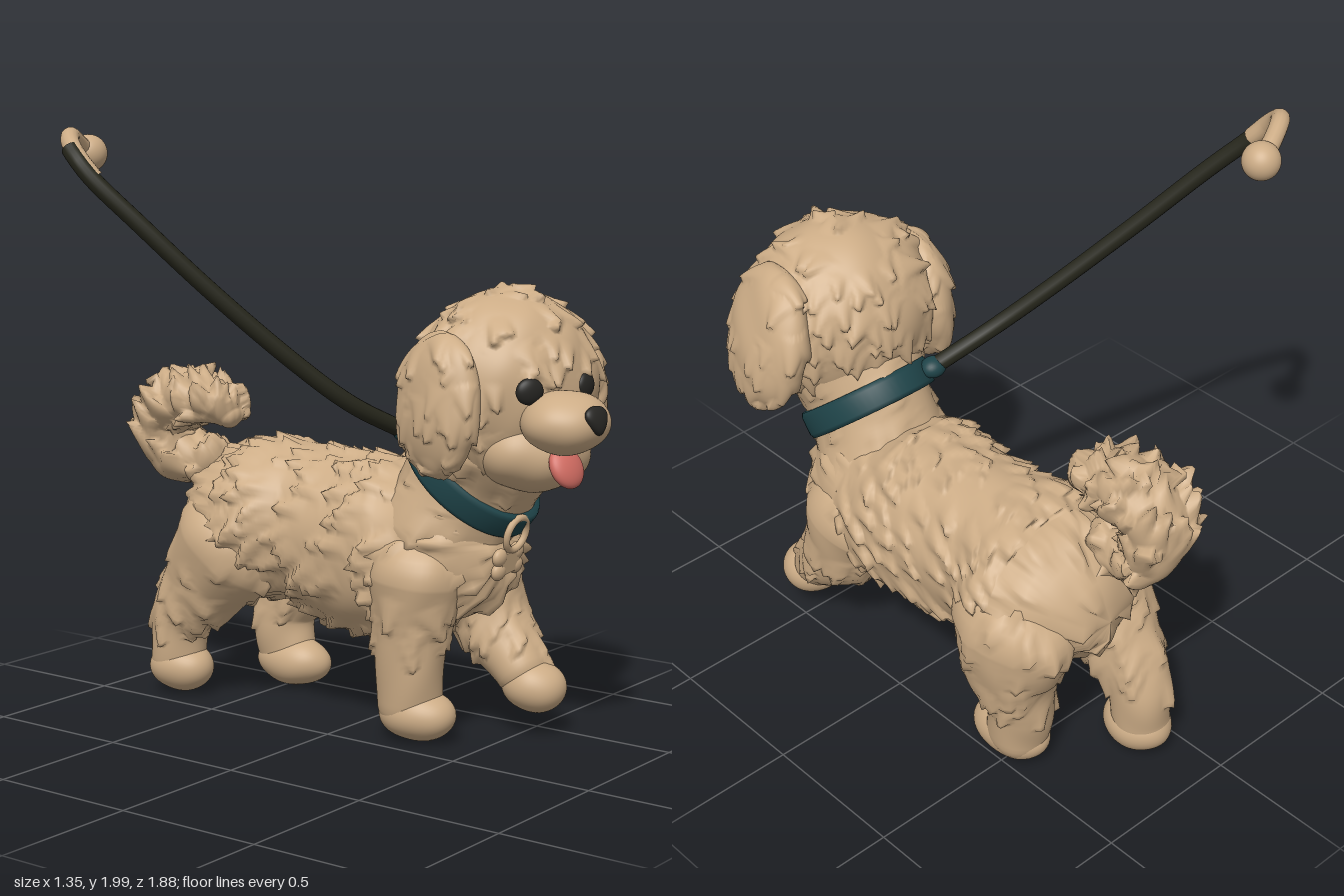
import * as THREE from 'three';
import { mergeVertices } from 'three/addons/utils/BufferGeometryUtils.js';

const V = (x, y, z) => new THREE.Vector3(x, y, z);
const paint = (name, color) => {
  const m = new THREE.MeshStandardMaterial({ color });
  m.name = name;
  return m;
};

export function createModel() {
  const furTan = paint('tan fur', 0xccac86);
  const dark = paint('dark eyes and nose', 0x262522);
  const leashDark = paint('leash olive black', 0x26261b);
  const teal = paint('teal collar', 0x1f4449);
  const pink = paint('pink tongue', 0xd16c62);

  const model = new THREE.Group();
  model.name = 'puppyOnLeash';
  const add = (name, geo, mat, parent = model) => {
    const m = new THREE.Mesh(geo, mat);
    m.name = name;
    parent.add(m);
    return m;
  };

  let seed = 7;
  const rand = () => (seed = (seed * 16807) % 2147483647) / 2147483647;

  // Raises overlapping pointed locks that swell along the flow and end in a sharp step
  function fur(geo, { count = 0, flow = V(0, -1, 0), size = 1, amp = 0.004, lift = 0.024, skip = () => false }) {
    geo.computeVertexNormals();
    const p = geo.attributes.position, n = geo.attributes.normal;
    const points = [], normals = [], push = [];
    for (let i = 0; i < p.count; i++) {
      const v = V().fromBufferAttribute(p, i), nor = V().fromBufferAttribute(n, i);
      points.push(v);
      normals.push(nor);
      push.push({ h: amp * Math.sin(v.x * 23 + v.z * 11) * Math.sin(v.y * 21 - v.z * 19), f: V() });
    }
    for (let k = 0; k < count; k++) {
      const i = Math.floor(rand() * p.count), s = points[i], nor = normals[i];
      if (skip(s)) continue;
      const f = flow.clone().add(V(rand() - 0.5, rand() - 0.5, rand() - 0.5).multiplyScalar(0.7));
      f.addScaledVector(nor, -f.dot(nor)).normalize();
      const across = nor.clone().cross(f), scale = size * (0.75 + rand() * 0.5);
      const long = 0.095 * scale, wide = 0.04 * scale, d = V();
      points.forEach((v, j) => {
        d.subVectors(v, s);
        const t = d.dot(f) / long;
        if (t < 0 || t > 1 || Math.abs(d.dot(nor)) > 0.05) return;
        const w = d.dot(across) / (wide * (1.1 - 0.75 * t));
        const h = lift * scale * t * (1 - w * w);
        if (h > push[j].h) push[j] = { h, f };
      });
    }
    points.forEach((v, i) => {
      v.addScaledVector(normals[i], push[i].h).addScaledVector(push[i].f, push[i].h * 0.8);
      p.setXYZ(i, v.x, v.y, v.z);
    });
    geo.computeVertexNormals();
    return geo;
  }

  // Rounded limb through sections [x, y, z, half width, half depth], with domed ends
  function loft(sections, steps = 36, n = 48) {
    const path = new THREE.CatmullRomCurve3(sections.map(s => V(s[0], s[1], s[2])));
    const size = new THREE.CatmullRomCurve3(sections.map(s => V(s[3], s[4], 0)));
    const rings = [], cap = 8;
    const ring = (u, out, k) => {
      const c = path.getPoint(u), t = path.getTangent(u), r = size.getPoint(u);
      rings.push({ c: c.addScaledVector(t, out * Math.min(r.x, r.y)), t, a: r.x * k, b: r.y * k });
    };
    for (let i = 0; i < cap; i++) {
      const q = (i / cap) * Math.PI / 2;
      ring(0, -Math.cos(q), Math.sin(q) + 0.001);
    }
    for (let i = 0; i <= steps; i++) ring(i / steps, 0, 1);
    for (let i = cap - 1; i >= 0; i--) {
      const q = (i / cap) * Math.PI / 2;
      ring(1, Math.cos(q), Math.sin(q) + 0.001);
    }
    const pos = [], idx = [];
    rings.forEach(({ c, t, a, b }, i) => {
      const side = V(1, 0, 0).addScaledVector(t, -t.x).normalize();
      const up = t.clone().cross(side);
      for (let j = 0; j < n; j++) {
        const f = (j / n) * Math.PI * 2;
        const v = c.clone().addScaledVector(side, Math.cos(f) * a).addScaledVector(up, Math.sin(f) * b);
        pos.push(v.x, v.y, v.z);
        if (i === rings.length - 1) continue;
        const A = i * n + j, B = i * n + (j + 1) % n;
        idx.push(A, B, B + n, A, B + n, A + n);
      }
    });
    const g = new THREE.BufferGeometry();
    g.setAttribute('position', new THREE.Float32BufferAttribute(pos, 3));
    g.setIndex(idx);
    return g;
  }

  // Smooth ellipsoid with evenly spread vertices
  function ball(c, r, rot = [0, 0, 0], detail = 12) {
    let g = new THREE.IcosahedronGeometry(1, detail);
    g.deleteAttribute('uv');
    g.deleteAttribute('normal');
    g = mergeVertices(g, 1e-4);
    g.applyMatrix4(new THREE.Matrix4().compose(V(...c),
      new THREE.Quaternion().setFromEuler(new THREE.Euler(...rot)), V(...r)));
    g.computeVertexNormals();
    return g;
  }

  // Torso and neck
  add('torso', fur(loft([
    [0.29, 0.63, 0.27, 0.255, 0.25], [0.29, 0.60, 0.12, 0.28, 0.305], [0.29, 0.605, -0.08, 0.265, 0.3],
    [0.29, 0.64, -0.28, 0.255, 0.27], [0.28, 0.645, -0.42, 0.3, 0.272], [0.28, 0.64, -0.5, 0.285, 0.25],
  ], 80, 110), { count: 430, flow: V(0, -0.5, -1) }), furTan);
  add('neck', fur(loft([
    [0.28, 0.69, 0.28, 0.24, 0.21], [0.28, 0.88, 0.38, 0.192, 0.225], [0.27, 1.02, 0.47, 0.24, 0.235],
  ]), { count: 60, flow: V(0, -1, -0.5), lift: 0.015 }), furTan);

  // Legs: sections from shoulder or hip to ankle, then the paw
  const legs = {
    frontLeftLeg: [[[0.45, 0.55, 0.27, 0.145, 0.17], [0.45, 0.37, 0.34, 0.12, 0.135], [0.43, 0.22, 0.48, 0.102, 0.09]],
      [0.43, 0.165, 0.53], [0.104, 0.088, 0.108], [0.15, 0, 0]],
    frontRightLeg: [[[0.12, 0.55, 0.27, 0.145, 0.16], [0.12, 0.35, 0.25, 0.115, 0.125], [0.13, 0.13, 0.24, 0.105, 0.108]],
      [0.13, 0.092, 0.27], [0.106, 0.088, 0.135], [0, 0, 0]],
    hindLeftLeg: [[[0.46, 0.56, -0.51, 0.16, 0.225], [0.46, 0.39, -0.5, 0.135, 0.18], [0.44, 0.24, -0.53, 0.108, 0.11], [0.44, 0.12, -0.51, 0.096, 0.105]],
      [0.43, 0.095, -0.475], [0.1, 0.088, 0.145], [0, 0, 0]],
    hindRightLeg: [[[0.11, 0.56, -0.51, 0.16, 0.21], [0.12, 0.41, -0.63, 0.128, 0.155], [0.12, 0.27, -0.735, 0.102, 0.11], [0.12, 0.13, -0.75, 0.093, 0.095]],
      [0.12, 0.1, -0.735], [0.1, 0.088, 0.12], [0, 0, 0]],
  };
  for (const [name, [sections, at, size, rot]] of Object.entries(legs)) {
    add(name, fur(loft(sections), { count: 90, lift: 0.018, skip: p => p.y < 0.3 }), furTan);
    add(name.replace('Leg', 'Paw'), fur(ball(at, size, rot, 8), { amp: 0.003 }), furTan);
  }

  // Curled tail with longer locks
  add('tail', fur(loft([
    [0.19, 0.82, -0.68, 0.08, 0.07], [0.16, 0.84, -0.79, 0.1, 0.085], [0.15, 0.96, -0.815, 0.11, 0.085],
    [0.15, 1.04, -0.73, 0.115, 0.085], [0.15, 1.04, -0.61, 0.095, 0.065], [0.16, 0.99, -0.545, 0.045, 0.03],
  ], 60, 56), { count: 110, flow: V(0, 0.6, -0.2), size: 1.1, lift: 0.035 }), furTan);

  // Head
  const face = p => p.z > 0.64 && p.y < 1.29;
  add('head', fur(ball([0.27, 1.185, 0.51], [0.31, 0.305, 0.275], [0, -0.3, 0], 32),
    { count: 230, flow: V(0, -0.8, 0.1), lift: 0.02, skip: p => face(p) || p.y < 1.02 }), furTan);
  add('jaw', fur(ball([0.235, 1.0, 0.62], [0.205, 0.138, 0.185], [0.25, -0.3, 0]), {}), furTan);
  add('muzzle', fur(ball([0.16, 1.1, 0.8], [0.145, 0.1, 0.135], [0, -0.3, 0]), { amp: 0.003 }), furTan);
  const earFur = { count: 70, lift: 0.012 };
  add('leftEar', fur(ball([0.56, 1.18, 0.525], [0.09, 0.24, 0.19], [0, -0.15, 0.24], 20), earFur), furTan);
  add('rightEar', fur(ball([-0.01, 1.15, 0.44], [0.085, 0.225, 0.18], [0, -0.3, -0.08], 20), earFur), furTan);
  add('leftEye', ball([0.305, 1.2, 0.78], [0.042, 0.042, 0.022], [0, 0, 0], 6), dark);
  add('rightEye', ball([0.07, 1.2, 0.724], [0.046, 0.042, 0.022], [0, -0.55, 0], 6), dark);

  // Nose, wide at the top and narrowing downward
  const nose = ball([0, 0, 0], [0.055, 0.046, 0.022], [0, 0, 0], 8);
  const np = nose.attributes.position;
  for (let i = 0; i < np.count; i++) np.setX(i, np.getX(i) * (0.8 + np.getY(i) * 8));
  nose.computeVertexNormals();
  const noseMesh = add('nose', nose, dark);
  noseMesh.position.set(0.138, 1.12, 0.924);
  noseMesh.rotation.set(-0.25, -0.15, 0);
  add('tongue', ball([0.168, 0.96, 0.8], [0.065, 0.07, 0.032], [-0.45, -0.2, 0], 8), pink);

  // Collar tilted around the neck
  const band = new THREE.LatheGeometry([
    [0.88, -0.045], [0.98, -0.045], [1.01, -0.03], [1.01, 0.03], [0.98, 0.045], [0.88, 0.045],
  ].map(p => new THREE.Vector2(...p)), 56);
  const collar = add('collar', band, teal);
  collar.scale.set(0.215, 1, 0.247);
  collar.rotation.x = 0.69;
  collar.position.set(0.28, 0.88, 0.38);
  add('leashClip', ball([0.14, 1.02, 0.21], [0.045, 0.035, 0.04], [0, 0, 0], 5), teal);

  // Ring and bone-shaped tag
  const ring = add('tagRing', new THREE.TorusGeometry(0.055, 0.012, 10, 32), furTan);
  ring.position.set(0.245, 0.71, 0.572);
  ring.rotation.x = 0.25;
  const tag = new THREE.Group();
  tag.name = 'boneTag';
  tag.position.set(0.235, 0.62, 0.545);
  tag.rotation.set(0.15, 0, 0.1);
  model.add(tag);
  add('tagBar', new THREE.BoxGeometry(0.1, 0.07, 0.03), furTan, tag);
  for (const x of [-1, 1]) for (const y of [-1, 1])
    add('tagKnob', ball([x * 0.048, y * 0.024, 0], [0.032, 0.03, 0.02], [0, 0, 0], 4), furTan, tag);

  // Leash whose dark sleeve wraps the outer side of the bent handle, with an end knob
  const tube = (pts, r) => new THREE.TubeGeometry(new THREE.CatmullRomCurve3(pts.map(p => V(...p))), 48, r, 14);
  add('leash', tube([[0.14, 1.02, 0.21], [-0.05, 1.125, 0.13], [-0.2, 1.265, 0.02], [-0.4, 1.5, -0.16],
    [-0.55, 1.71, -0.32], [-0.628, 1.84, -0.43], [-0.644, 1.9, -0.48], [-0.637, 1.932, -0.515]], 0.028), leashDark);
  add('leashHandle', tube([[-0.618, 1.84, -0.43], [-0.632, 1.9, -0.48], [-0.617, 1.945, -0.53],
    [-0.57, 1.968, -0.575], [-0.5, 1.945, -0.61], [-0.43, 1.91, -0.63]], 0.029), furTan);
  add('handleKnob', ball([-0.43, 1.91, -0.63], [0.06, 0.06, 0.06], [0, 0, 0], 8), furTan);

  return model;
}
